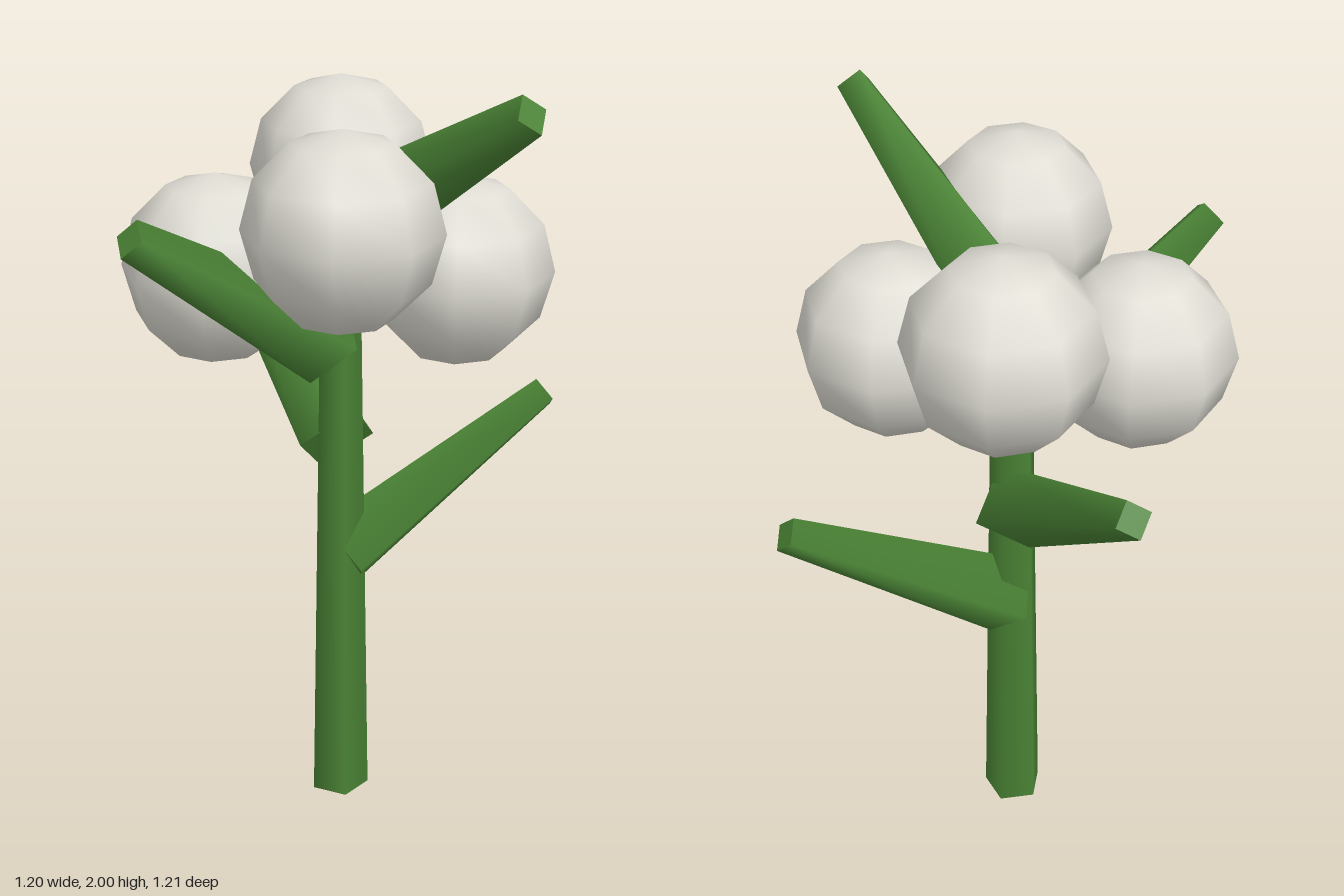
import * as THREE from 'three';

export function createModel() {
  const model = new THREE.Group();
  model.name = 'blossomStalk';

  const green = new THREE.MeshStandardMaterial({ color: 0x4a8335 });
  green.name = 'leafGreen';
  const white = new THREE.MeshStandardMaterial({ color: 0xdedcd3 });
  white.name = 'blossomWhite';

  const add = (name, geometry, material) => {
    const mesh = new THREE.Mesh(geometry, material);
    mesh.name = name;
    model.add(mesh);
    return mesh;
  };

  // Stem: tapered five-sided column with a corner on the front-left diagonal
  const stemHeight = 1.65;
  const stem = add('stem', new THREE.CylinderGeometry(0.05, 0.08, stemHeight, 5), green);
  stem.rotation.y = Math.PI / 4;
  stem.position.set(0.01, stemHeight / 2, 0);

  // Leaves: four-sided tapered prisms climbing around the stem, [base, tip]
  const leaves = {
    lowerLeftLeaf: [[0.02, 0.71, 0], [0.575, 1.07, 0.17]],
    backLeaf: [[0.02, 1.02, -0.02], [0.108, 1.37, -0.58]],
    rightLeaf: [[-0.02, 1.30, -0.01], [-0.575, 1.665, -0.03]],
    topFrontLeaf: [[0.03, 1.61, 0.02], [0.06, 1.96, 0.582]],
  };
  const up = new THREE.Vector3(0, 1, 0);
  for (const [name, [from, to]] of Object.entries(leaves)) {
    const base = new THREE.Vector3(...from);
    const tip = new THREE.Vector3(...to);
    const along = tip.clone().sub(base);
    const length = along.length();
    along.normalize();
    const side = along.clone().cross(up).normalize();
    const top = side.clone().cross(along);

    const geometry = new THREE.CylinderGeometry(0.048, 0.113, length, 4);
    geometry.rotateY(0.1);
    const leaf = add(name, geometry, green);
    leaf.quaternion.setFromRotationMatrix(new THREE.Matrix4().makeBasis(side, along, top));
    leaf.position.copy(base).lerp(tip, 0.5);
  }

  // Blossoms: four low-poly globes around the top of the stem
  const blossoms = {
    frontRightBlossom: [-0.172, 1.665, 0.23],
    frontLeftBlossom: [0.225, 1.488, 0.195],
    backLeftBlossom: [0.205, 1.665, -0.228],
    backRightBlossom: [-0.22, 1.488, -0.195],
  };
  const globe = new THREE.SphereGeometry(0.236, 8, 6);
  for (const [name, at] of Object.entries(blossoms)) {
    add(name, globe, white).position.set(...at);
  }

  return model;
}
